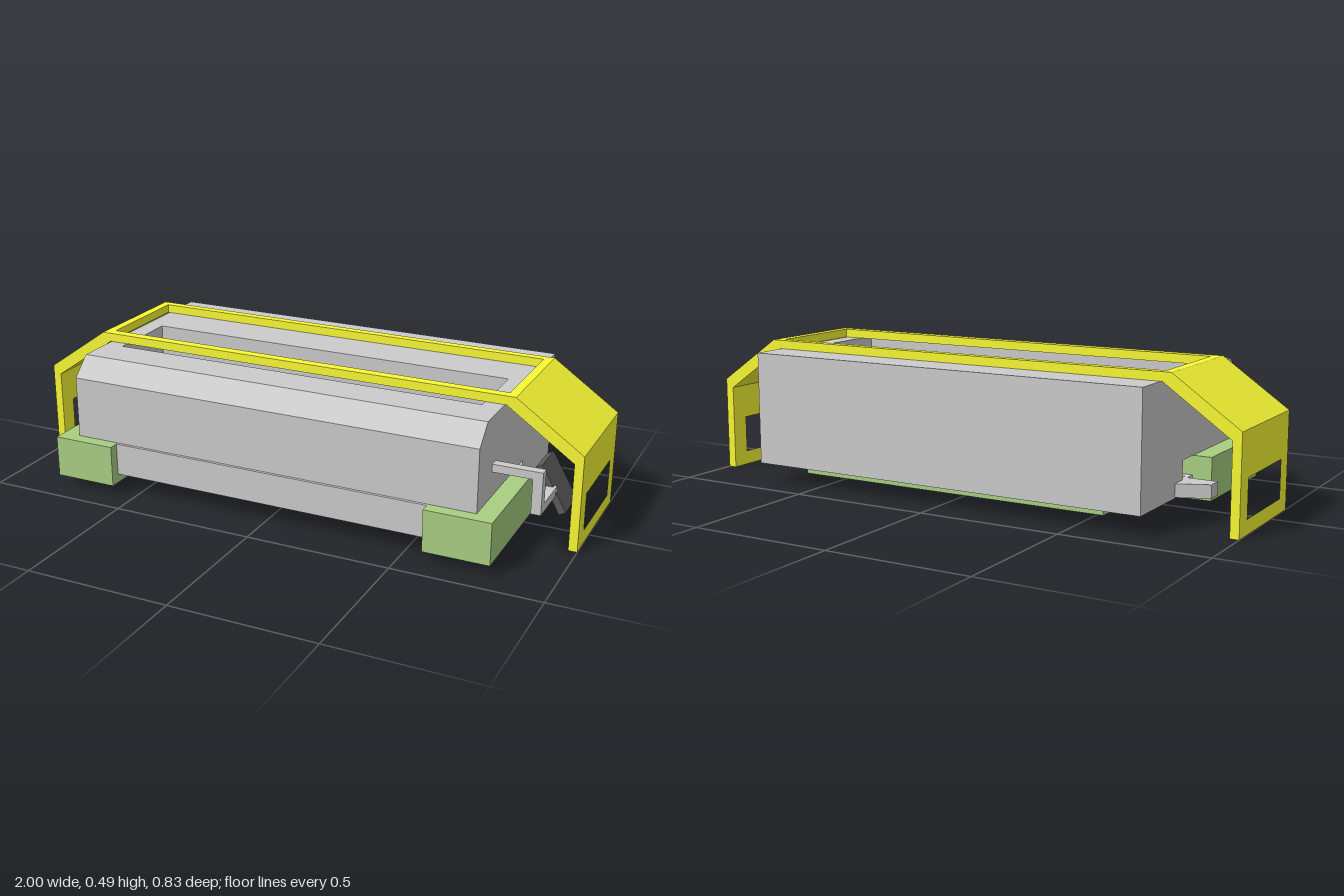
import * as THREE from 'three';

const mat = (color) => new THREE.MeshStandardMaterial({ color, flatShading: true });
const GREY = mat(0xcccccc), YELLOW = mat(0xfafa35), GREEN = mat(0xa9cf82), DARK = mat(0x5c5c5c);

const rect = (a0, a1, b0, b1) => [[a0, b0], [a1, b0], [a1, b1], [a0, b1]];

// Extrude an outline with optional holes; `sx`, `sy` flip the outline's axes
function extrude(points, holes, depth, sx, sy) {
  const vec = (list) => list.map(([a, b]) => new THREE.Vector2(a * sx, b * sy));
  const shape = new THREE.Shape(vec(points));
  for (const h of holes) shape.holes.push(new THREE.Path(vec(h)));
  return new THREE.ExtrudeGeometry(shape, { depth, bevelEnabled: false });
}

export function createModel() {
  const model = new THREE.Group();
  const add = (name, geometry, material) => {
    const mesh = new THREE.Mesh(geometry, material);
    mesh.name = name;
    model.add(mesh);
    return mesh;
  };
  const box = (name, m, x0, x1, y0, y1, z0, z1) =>
    add(name, new THREE.BoxGeometry(x1 - x0, y1 - y0, z1 - z0)
      .translate((x0 + x1) / 2, (y0 + y1) / 2, (z0 + z1) / 2), m);
  // Prisms along x (outline in z,y), y (outline in x,z) and z (outline in x,y)
  const prismX = (name, m, pts, x0, x1, holes = []) =>
    add(name, extrude(pts, holes, x1 - x0, -1, 1).rotateY(Math.PI / 2).translate(x0, 0, 0), m);
  const prismY = (name, m, pts, y0, y1, holes = []) =>
    add(name, extrude(pts, holes, y1 - y0, 1, -1).rotateX(-Math.PI / 2).translate(0, y0, 0), m);
  const prismZ = (name, m, pts, z0, z1) =>
    add(name, extrude(pts, [], z1 - z0, 1, 1).translate(0, 0, z0), m);

  // Housing: rear block, chamfered front hood and end walls around the top opening
  box('rearHousing', GREY, -0.735, 0.735, 0.067, 0.46, -0.415, -0.095);
  prismX('frontHood', GREY,
    [[0.17, 0.18], [0.37, 0.18], [0.37, 0.395], [0.302, 0.46], [0.17, 0.46]], -0.735, 0.735);

  // Floor of the channel with its row of slits
  const slits = [[-0.72, -0.575], [-0.35, -0.085], [0.08, 0.345], [0.57, 0.72]]
    .map(([a, b]) => rect(a, b, -0.06, -0.042));
  prismY('channelFloor', GREY, rect(-0.735, 0.735, -0.095, -0.01), 0.067, 0.115, slits);

  // Front tray between the feet, with a recess in its underside
  const tray = [[-0.64, -0.01], [0.64, -0.01], [0.575, 0.09], [0.575, 0.38], [-0.575, 0.38], [-0.575, 0.09]];
  prismY('trayBase', GREY, tray, 0.067, 0.1, [rect(-0.13, 0.13, 0.23, 0.29)]);
  prismY('trayTop', GREY, tray, 0.1, 0.18);

  // Rear foot plate with screw holes
  const circle = (cx, cz, r) => Array.from({ length: 16 }, (_, i) => {
    const t = (i / 16) * Math.PI * 2;
    return [cx + r * Math.cos(t), cz + r * Math.sin(t)];
  });
  const screws = [-0.49, 0.49].flatMap((x) => [-0.3, -0.19].map((z) => circle(x, z, 0.016)));
  prismY('rearFootPlate', GREEN, rect(-0.58, 0.58, -0.35, -0.155), 0.035, 0.067, screws);

  // Parts found at both ends
  for (const s of [-1, 1]) {
    const side = s > 0 ? 'left' : 'right';
    const flip = (pts) => pts.map(([x, b]) => [x * s, b]);
    const span = (a, b) => (s > 0 ? [a, b] : [-b, -a]);
    box(side + 'EndWall', GREY, ...span(0.67, 0.735), 0.18, 0.46, -0.095, 0.17);
    prismY(side + 'FrontFoot', GREEN,
      flip([[0.8, 0.415], [0.8, -0.01], [0.64, -0.01], [0.575, 0.09], [0.575, 0.415]]), 0.035, 0.18);
    prismY(side + 'Spout', GREY,
      flip([[0.735, -0.155], [0.84, -0.11], [0.84, -0.055], [0.735, -0.055]]), 0.07, 0.115);

    // Guard leg with a window, and the sloping shoulder above it
    prismX(side + 'GuardLeg', YELLOW, rect(-0.285, 0.14, 0, 0.3), ...span(0.97, 1),
      [rect(-0.22, 0.075, 0.05, 0.18)]);
    prismZ(side + 'GuardShoulder', YELLOW,
      flip([[0.74, 0.46], [0.97, 0.3], [1, 0.3], [1, 0.33], [0.77, 0.49], [0.74, 0.49]]), -0.285, 0.14);
  }

  // Guard rails along the top
  box('guardRearRail', YELLOW, -0.74, 0.74, 0.46, 0.49, -0.285, -0.255);
  box('guardFrontRail', YELLOW, -0.74, 0.74, 0.46, 0.49, 0.105, 0.14);

  // Bracket on the left end carrying the tilted paddle
  box('bracketArm', GREY, 0.735, 0.9, 0.268, 0.295, 0.205, 0.238);
  box('bracketDrop', GREY, 0.867, 0.9, 0.15, 0.268, 0.205, 0.238);
  box('bracketReach', GREY, 0.867, 0.9, 0.15, 0.18, 0.06, 0.205);
  const paddle = add('paddle', new THREE.BoxGeometry(0.025, 0.175, 0.13), DARK);
  paddle.position.set(0.883, 0.168, 0.01);
  paddle.rotation.z = 0.52;

  return model;
}
